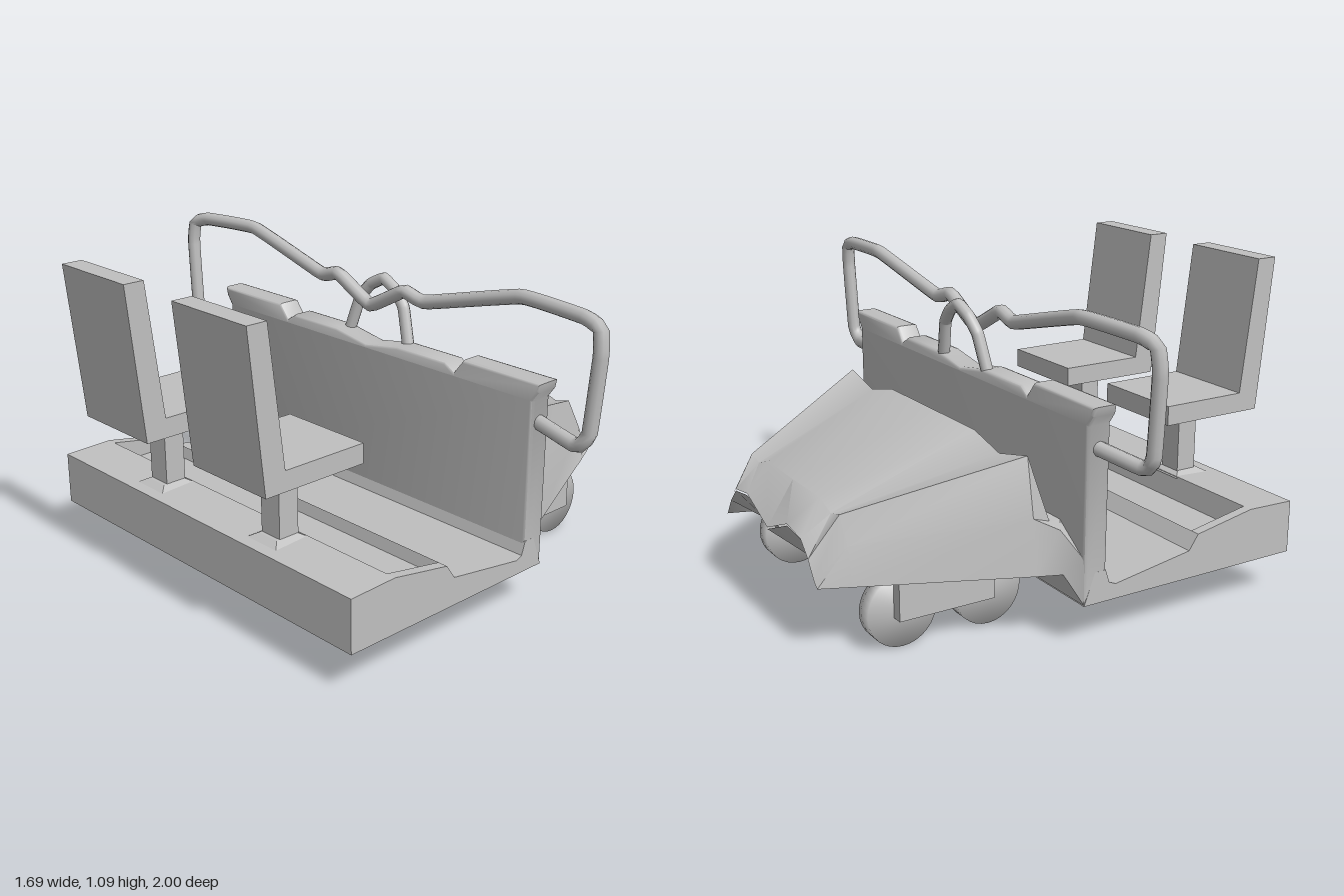
import * as THREE from 'three';
import { mergeVertices, toCreasedNormals } from 'three/addons/utils/BufferGeometryUtils.js';

const grey = new THREE.MeshStandardMaterial({ color: 0xc0c0c0 });
grey.name = 'light grey';

function add(parent, name, geometry, x = 0, y = 0, z = 0) {
  const mesh = new THREE.Mesh(geometry, grey);
  mesh.name = name;
  mesh.position.set(x, y, z);
  parent.add(mesh);
  return mesh;
}

// side profile (x, y) extruded along z between z0 and z1
function profile(points, z0, z1) {
  const shape = new THREE.Shape(points.map(p => new THREE.Vector2(...p)));
  return new THREE.ExtrudeGeometry(shape, { depth: z1 - z0, bevelEnabled: false }).translate(0, 0, z0);
}

function tube(points, radius) {
  const curve = new THREE.CatmullRomCurve3(points.map(p => new THREE.Vector3(...p)), false, 'catmullrom', 0.15);
  return new THREE.TubeGeometry(curve, 120, radius, 10);
}

// mirror a half path that starts on the centre plane
function mirrored(half) {
  return [...half.slice(1).reverse().map(([x, y, z]) => [x, y, -z]), ...half];
}

// hood skin: each section has x, underside height and a half outline of (z, y)
function hoodGeometry() {
  const sections = [
    { x: 0.12, bottom: 0.15, half: [[0, 0.39], [0.28, 0.39], [0.43, 0.39], [0.6, 0.39], [0.73, 0.3], [0.735, 0.15]] },
    { x: 0.16, bottom: 0.24, half: [[0, 0.39], [0.28, 0.39], [0.43, 0.39], [0.6, 0.39], [0.66, 0.38], [0.68, 0.24]] },
    { x: 0.235, bottom: 0.238, half: [[0, 0.612], [0.28, 0.612], [0.43, 0.575], [0.59, 0.612], [0.625, 0.42], [0.645, 0.238]] },
    { x: 0.745, bottom: 0.236, half: [[0, 0.455], [0.2, 0.458], [0.28, 0.43], [0.34, 0.445], [0.39, 0.36], [0.415, 0.236]] },
    { x: 0.84, bottom: null, half: [[0, 0.31], [0.16, 0.375], [0.26, 0.36], [0.31, 0.31], [0.35, 0.25], [0.37, 0.235]] }
  ];
  const rings = sections.map(({ x, bottom, half }) => {
    const top = [...half.slice(1).reverse().map(([z, y]) => [-z, y]), ...half];
    const under = top.slice(1, -1).reverse().map(([z, y]) => [z, bottom ?? y - 0.006]);
    return [...top, ...under].map(([z, y]) => [x, y, z]);
  });
  const n = rings[0].length, index = [];
  for (let i = 0; i < rings.length - 1; i++) {
    for (let j = 0; j < n; j++) {
      const a = i * n + j, c = i * n + (j + 1) % n, b = a + n, d = c + n;
      index.push(a, c, b, c, d, b);
    }
  }
  const g = new THREE.BufferGeometry();
  g.setAttribute('position', new THREE.Float32BufferAttribute(rings.flat(2), 3));
  g.setIndex(index);
  return toCreasedNormals(g, 0.7);
}

// disc whose normals blend over the rim
function wheelGeometry() {
  const g = new THREE.CylinderGeometry(0.12, 0.12, 0.06, 32).rotateX(Math.PI / 2);
  g.deleteAttribute('normal');
  g.deleteAttribute('uv');
  const merged = mergeVertices(g, 1e-4);
  merged.computeVertexNormals();
  return merged;
}

export function createModel() {
  const model = new THREE.Group();
  model.name = 'openVehicle';

  // floor with a shallow trough ahead of the seats, and raised side rims
  const body = new THREE.Group();
  body.name = 'body';
  model.add(body);
  const front = [[-0.325, 0.29], [-0.29, 0.24], [0, 0.195], [0.025, 0.205], [0.04, 0.25], [0.08, 0.25], [0.12, 0.145]];
  const rear = [[-0.72, 0.145], [-0.72, 0.325], [-0.545, 0.33]];
  add(body, 'floor', profile([...rear, [-0.53, 0.25], [-0.335, 0.25], ...front], -0.7, 0.7));
  for (const s of [-1, 1]) {
    add(body, 'sideRim', profile([...rear, ...front], s > 0 ? 0.7 : -0.735, s > 0 ? 0.735 : -0.7));
  }

  // dashboard wall with a notched, flared top edge
  const wallHalf = [[0, 0.735], [0.15, 0.76], [0.37, 0.76], [0.41, 0.735], [0.45, 0.785], [0.765, 0.785],
    [0.76, 0.76], [0.735, 0.725], [0.73, 0.15]];
  const wallPoints = [...wallHalf.slice(1).reverse().map(([z, y]) => [-z, y]), ...wallHalf];
  const wallShape = new THREE.Shape(wallPoints.map(p => new THREE.Vector2(...p)));
  const wall = new THREE.ExtrudeGeometry(wallShape, {
    depth: 0.06, bevelEnabled: true, bevelThickness: 0.013, bevelSize: 0.01, bevelOffset: -0.006, bevelSegments: 2
  }).rotateY(Math.PI / 2);
  add(body, 'dashboardWall', toCreasedNormals(wall, 0.8), 0.05, 0, 0);

  add(body, 'hood', hoodGeometry());

  // seats on posts
  for (const s of [-1, 1]) {
    const seat = new THREE.Group();
    seat.name = 'seat';
    seat.position.z = s * 0.29;
    model.add(seat);
    add(seat, 'seatShell', profile([[-0.795, 0.565], [-0.41, 0.565], [-0.41, 0.632], [-0.72, 0.632],
      [-0.775, 1.092], [-0.848, 1.092]], -0.17, 0.17));
    add(seat, 'seatPost', new THREE.BoxGeometry(0.075, 0.25, 0.085), -0.603, 0.445, 0);
    const foot = new THREE.CylinderGeometry(0.06, 0.1, 0.016, 4).rotateY(Math.PI / 4).toNonIndexed();
    foot.computeVertexNormals();
    add(seat, 'seatFoot', foot, -0.61, 0.333, 0);
  }

  // wheels and their outer side plates
  for (const s of [-1, 1]) {
    for (const x of [0.27, 0.58]) add(model, 'wheel', wheelGeometry(), x, 0.122, s * 0.39);
    add(model, 'wheelPlate', new THREE.BoxGeometry(0.34, 0.135, 0.04), 0.44, 0.172, s * 0.438);
  }

  // bent side rail and the centre handle
  add(model, 'rail', tube(mirrored([[0.06, 0.875, 0], [0.06, 0.955, 0.16], [0.065, 0.935, 0.25], [0.085, 1.03, 0.64],
    [0.065, 1.025, 0.9], [0.055, 1.005, 0.965], [0.05, 0.93, 0.975], [0.045, 0.68, 0.955], [0.04, 0.64, 0.93],
    [0.045, 0.63, 0.9], [0.08, 0.65, 0.72]]), 0.024));
  add(model, 'handle', tube(mirrored([[0.125, 0.955, 0], [0.122, 0.925, 0.06], [0.115, 0.875, 0.105],
    [0.1, 0.745, 0.145]]), 0.021));

  return model;
}
